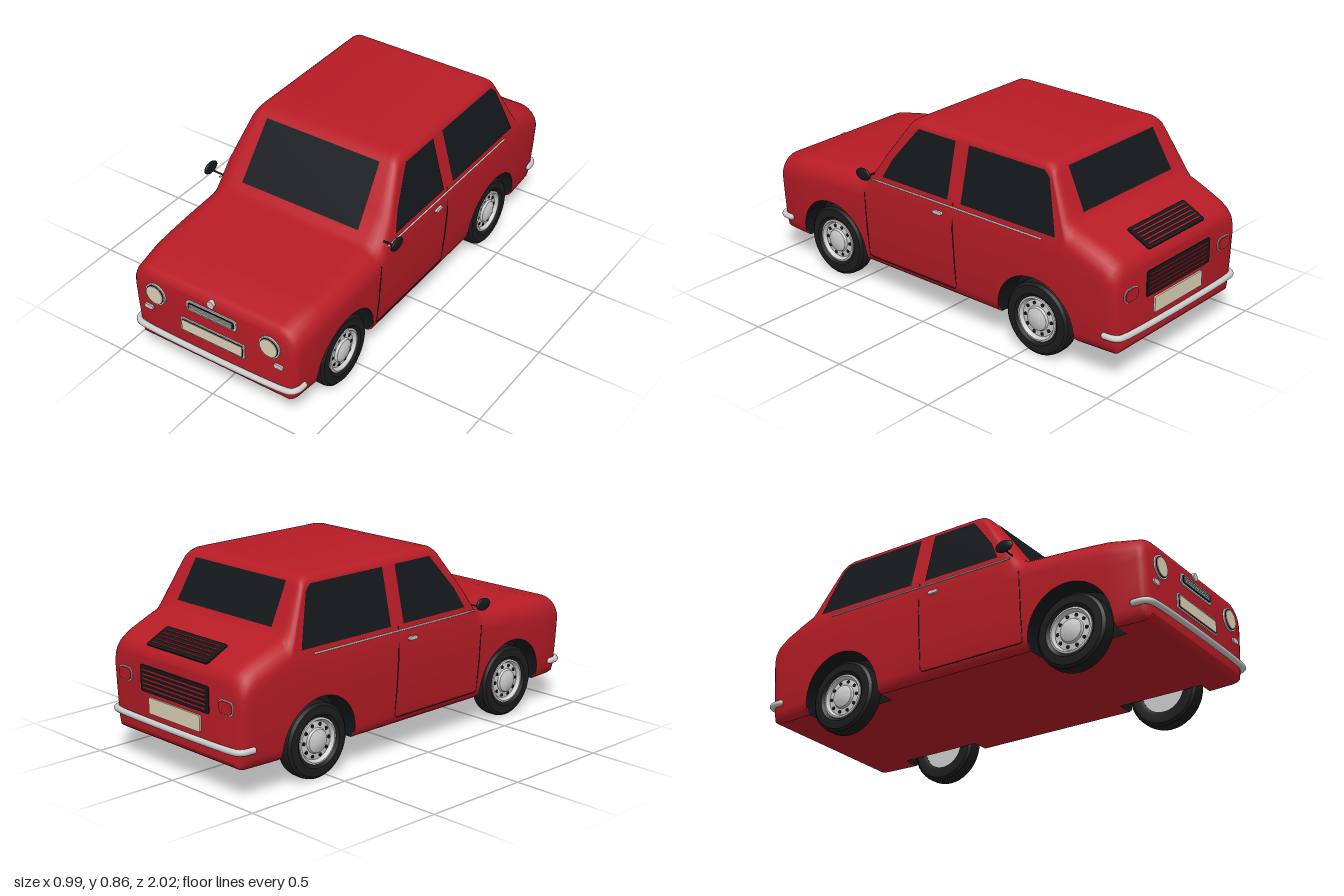
import * as THREE from 'three';
import { toCreasedNormals } from 'three/addons/utils/BufferGeometryUtils.js';

const RED = 0xb81c26, DARK = 0x14181b, CHROME = 0xcccccc, CREAM = 0xddd2b8;
const V = (x, y, z) => new THREE.Vector3(x, y, z);
const clamp = THREE.MathUtils.clamp;

// piecewise linear lookup
function lookup(table, t) {
  if (t <= table[0][0]) return table[0][1];
  for (let i = 1; i < table.length; i++) {
    const [a, va] = table[i - 1], [b, vb] = table[i];
    if (t <= b) return va + (vb - va) * (t - a) / (b - a);
  }
  return table[table.length - 1][1];
}

// body top height along z, and body half width by height
const TOP = [[-0.975, 0.515], [-0.94, 0.535], [-0.9, 0.56], [-0.8, 0.6], [-0.735, 0.622], [-0.715, 0.645], [-0.61, 0.838],
  [-0.595, 0.85], [-0.565, 0.86], [0.12, 0.862], [0.155, 0.857], [0.18, 0.84], [0.37, 0.58], [0.39, 0.562], [0.42, 0.552],
  [0.6, 0.54], [0.8, 0.525], [0.94, 0.5], [0.975, 0.493]];
const WIDTH = [[0.13, 0.39], [0.145, 0.41], [0.18, 0.419], [0.3, 0.43], [0.45, 0.44], [0.55, 0.44], [0.83, 0.37], [0.87, 0.36]];
const LEVELS = [0.13, 0.137, 0.145, 0.18, 0.3, 0.38, 0.45, 0.5, 0.55, 0.6, 0.7, 0.8, 0.83];
const top = z => lookup(TOP, z);
const width = y => lookup(WIDTH, y);
const FLOOR = 0.13, AXLE = 0.165, ARCH = 0.2, WELL = 0.31;
const WHEELS = [-0.56, 0.62];

function mesh(name, geo, color, side = THREE.FrontSide) {
  const m = new THREE.Mesh(geo, new THREE.MeshStandardMaterial({ color, side }));
  m.name = name;
  return m;
}

// skin between rows of points; rows run along +z, points from +x over the top to -x
function loft(rows, crease = 0.75) {
  const n = rows[0].length, idx = [];
  for (let i = 0; i < rows.length - 1; i++)
    for (let j = 0; j < n - 1; j++) {
      const a = i * n + j, c = a + n;
      idx.push(a, a + 1, c, a + 1, c + 1, c);
    }
  const g = new THREE.BufferGeometry().setFromPoints(rows.flat());
  g.setIndex(idx);
  return toCreasedNormals(g, crease);
}

const inset = z => lookup([[0.94, 0], [0.955, 0.004], [0.968, 0.014], [0.975, 0.03]], Math.abs(z));
const sideX = (y, z) => width(y) * (1 - 0.04 * Math.max(0, (Math.abs(z) - 0.65) / 0.325) ** 2) - inset(z);

// one body cross-section, lip to lip
function section({ z, lip }) {
  const t = top(z) - inset(z), r = clamp(0.09 - (t - 0.6) * 0.2, 0.05, 0.09);
  const half = LEVELS.map(l => {
    const y = clamp(l, lip, t - r);
    return V(sideX(y, z), y, z);
  });
  const x = sideX(t - r, z);
  for (let k = 0; k <= 6; k++) {
    const a = k / 6 * Math.PI / 2;
    half.push(V(x - r + r * Math.cos(a), t - r + r * Math.sin(a), z));
  }
  return [...half, ...half.map(p => V(-p.x, p.y, z)).reverse()];
}

// stations along z, with the lower lip lifted over each wheel
function stations() {
  const zs = [...TOP.map(p => p[0]), -0.968, -0.955, 0.955, 0.968, -0.2, 0, 0.3];
  for (const c of WHEELS) for (let k = 1; k < 20; k++) zs.push(c + ARCH * Math.cos(k / 20 * Math.PI));
  const out = zs.map(z => {
    const c = WHEELS.find(w => Math.abs(z - w) < ARCH);
    return { z, wheel: c, lip: c === undefined ? FLOOR + inset(z) : AXLE + Math.sqrt(ARCH ** 2 - (z - c) ** 2) };
  });
  for (const c of WHEELS) for (const s of [-1, 1]) {
    out.push({ z: c + s * ARCH, wheel: c, lip: AXLE, order: 0 }, { z: c + s * ARCH, lip: FLOOR, order: s });
  }
  return out.sort((a, b) => a.z - b.z || a.order - b.order);
}

function addBody(car) {
  const st = stations(), rows = st.map(section);
  const cap = row => row.map(p => V(0, p.y, p.z));
  car.add(mesh('bodyShell', loft([cap(rows[0]), ...rows, cap(rows[rows.length - 1])]), RED));
  car.add(mesh('floor', loft(st.map(s => {
    const y = FLOOR + inset(s.z), x = s.wheel === undefined ? sideX(y, s.z) : WELL;
    return [-x, -WELL, WELL, x].map(v => V(v, y, s.z));
  })), RED));
  for (const c of WHEELS) for (const s of [-1, 1]) {
    const arch = st.filter(q => q.wheel === c);
    const well = q => [V(s * WELL, FLOOR, q.z), V(s * WELL, q.lip, q.z), V(s * sideX(q.lip, q.z), q.lip, q.z)];
    const end = q => well({ z: q.z, lip: FLOOR });
    car.add(mesh('wheelWell', loft([end(arch[0]), ...arch.map(well), end(arch[arch.length - 1])]), DARK, THREE.DoubleSide));
  }
}

// rounded plate facing +z, back at z = 0
function plate(name, w, h, r, depth, color) {
  const s = new THREE.Shape(), x = w / 2, y = h / 2;
  s.absarc(x - r, y - r, r, 0, Math.PI / 2);
  s.absarc(r - x, y - r, r, Math.PI / 2, Math.PI);
  s.absarc(r - x, r - y, r, Math.PI, Math.PI * 1.5);
  s.absarc(x - r, r - y, r, Math.PI * 1.5, Math.PI * 2);
  return mesh(name, new THREE.ExtrudeGeometry(s, { depth, bevelEnabled: false, curveSegments: 10 }), color);
}

// dark panel with horizontal bars
function vent(name, w, h, bars, barColor) {
  const g = new THREE.Group();
  g.name = name;
  g.add(plate('ventPanel', w, h, 0.01, 0.006, DARK));
  for (let i = 1; i <= bars; i++) {
    const b = plate('ventBar', w * 0.92, 0.006, 0.002, 0.009, barColor);
    b.position.y = h * (i / (bars + 1) - 0.5);
    g.add(b);
  }
  return g;
}

function at(obj, x, y, z, ry = 0) {
  obj.position.set(x, y, z);
  obj.rotation.y = ry;
  return obj;
}

function tube(name, pts, r, color) {
  const path = new THREE.CurvePath();
  for (let i = 1; i < pts.length; i++) path.add(new THREE.LineCurve3(pts[i - 1], pts[i]));
  return mesh(name, new THREE.TubeGeometry(path, pts.length * 8, r, 8), color, THREE.DoubleSide);
}

function wheel() {
  const g = new THREE.Group();
  g.name = 'wheel';
  const lathe = (name, pts, color) => {
    const m = mesh(name, toCreasedNormals(new THREE.LatheGeometry(pts.map(p => new THREE.Vector2(...p)), 40), 0.6), color, THREE.DoubleSide);
    m.rotation.z = -Math.PI / 2;
    g.add(m);
  };
  lathe('tire', [[0.1, -0.036], [0.115, -0.042], [0.15, -0.04], [0.162, -0.03], [0.165, -0.015], [0.165, 0.015],
    [0.162, 0.03], [0.15, 0.04], [0.115, 0.042], [0.1, 0.03]], 0x1c1c1c);
  lathe('rim', [[0, -0.034], [0.1, -0.034], [0.1, 0.036], [0.092, 0.038], [0.082, 0.022], [0.055, 0.026], [0.05, 0.036], [0.03, 0.045], [0, 0.048]], CHROME);
  for (let i = 0; i < 10; i++) {
    const a = i / 10 * Math.PI * 2;
    const hole = mesh('rimHole', new THREE.CylinderGeometry(0.008, 0.008, 0.008, 10), DARK);
    hole.rotation.z = -Math.PI / 2;
    hole.position.set(0.023, 0.069 * Math.sin(a), 0.069 * Math.cos(a));
    g.add(hole);
  }
  return g;
}

function addSide(car, s) {
  const on = (z, y, o = 0.001) => V(s * (width(y) + o), y, z);
  // side glass lies on the leaning cabin wall
  const panes = { frontSideWindow: [[0.285, 0.58], [0.24, 0.67], [0.16, 0.775], [0.12, 0.825], [-0.09, 0.825], [-0.095, 0.58]],
    rearSideWindow: [[-0.17, 0.58], [-0.165, 0.825], [-0.57, 0.825], [-0.6, 0.8], [-0.645, 0.67], [-0.675, 0.58]] };
  for (const [name, pts] of Object.entries(panes)) {
    const geo = new THREE.ShapeGeometry(new THREE.Shape(pts.map(p => new THREE.Vector2(...p))));
    const pos = geo.attributes.position;
    for (let i = 0; i < pos.count; i++) pos.setXYZ(i, ...on(pos.getX(i), pos.getY(i), 0.004).toArray());
    geo.computeVertexNormals();
    car.add(mesh(name, geo, DARK, THREE.DoubleSide));
  }
  car.add(tube('beltTrim', [on(0.35, 0.555), on(-0.61, 0.555)], 0.004, CHROME));
  car.add(tube('doorSeam', [on(0.395, 0.48), on(0.395, 0.3), on(0.395, 0.165), on(-0.125, 0.165),
    on(-0.125, 0.3), on(-0.125, 0.45), on(-0.125, 0.575)], 0.002, DARK));
  car.add(at(plate('doorHandle', 0.05, 0.015, 0.007, 0.012, CHROME), s * 0.438, 0.51, -0.045, s * Math.PI / 2));
  // door mirror
  car.add(tube('mirrorStalk', [V(s * 0.42, 0.575, 0.35), V(s * 0.48, 0.577, 0.35)], 0.004, DARK));
  const mirror = mesh('mirror', new THREE.SphereGeometry(1, 20, 14), DARK);
  mirror.scale.set(0.012, 0.028, 0.043);
  car.add(at(mirror, s * 0.485, 0.59, 0.352));
  for (const z of WHEELS) car.add(at(wheel(), s * 0.37, AXLE, z, s > 0 ? 0 : Math.PI));
  // front lamps
  [['headlampRim', 0.052, CHROME, 0.01], ['headlampGap', 0.046, DARK, 0.012], ['headlampLens', 0.042, CREAM, 0.015]]
    .forEach(([n, r, c, d]) => car.add(at(plate(n, r * 2, r * 2, r * 0.999, d, c), s * 0.293, 0.388, 0.973)));
  car.add(at(plate('indicator', 0.045, 0.022, 0.01, 0.01, CHROME), s * 0.335, 0.305, 0.973));
  // rear lamps
  car.add(at(plate('tailLampRim', 0.09, 0.062, 0.025, 0.006, CHROME), s * 0.325, 0.385, -0.973, Math.PI));
  car.add(at(plate('tailLamp', 0.08, 0.052, 0.021, 0.01, RED), s * 0.325, 0.385, -0.973, Math.PI));
}

function addBumper(car, name, s, y) {
  const half = [V(0.413, y, s * 0.915), V(0.41, y, s * 0.955), V(0.395, y, s * 0.977), V(0.36, y, s * 0.986)];
  const pts = [...half, ...half.map(p => V(-p.x, p.y, p.z)).reverse()];
  const bar = new THREE.TubeGeometry(new THREE.CatmullRomCurve3(pts, false, 'centripetal'), 80, 0.014, 12);
  car.add(mesh(name, bar, CHROME));
  for (const i of [0, pts.length - 1]) {
    const tip = mesh(name + 'Tip', new THREE.SphereGeometry(0.014, 12, 8), CHROME);
    tip.position.copy(pts[i]);
    car.add(tip);
  }
}

export function createModel() {
  const car = new THREE.Group();
  car.name = 'car';
  addBody(car);
  for (const s of [-1, 1]) addSide(car, s);

  // windscreens
  const pane = (name, z0, x0, z1, x1) => car.add(mesh(name, loft([[z0, x0], [z1, x1]]
    .map(([z, x]) => [x, -x].map(v => V(v, top(z) + 0.006, z)))), DARK));
  pane('windshield', 0.19, 0.29, 0.366, 0.302);
  pane('rearWindow', -0.712, 0.3, -0.618, 0.285);

  // nose
  car.add(at(plate('grilleFrame', 0.256, 0.052, 0.015, 0.008, CHROME), 0, 0.412, 0.973));
  car.add(at(vent('grille', 0.236, 0.036, 3, CHROME), 0, 0.412, 0.978));
  car.add(at(plate('noseDisc', 0.036, 0.036, 0.0179, 0.02, CHROME), 0, 0.467, 0.962));
  car.add(at(plate('frontPlateFrame', 0.33, 0.07, 0.006, 0.008, CHROME), 0, 0.296, 0.973));
  car.add(at(plate('frontPlateGap', 0.316, 0.058, 0.003, 0.01, DARK), 0, 0.296, 0.973));
  car.add(at(plate('frontPlate', 0.308, 0.051, 0.003, 0.012, CREAM), 0, 0.296, 0.973));
  addBumper(car, 'frontBumper', 1, 0.2);

  // tail
  car.add(at(vent('rearVent', 0.44, 0.115, 5, RED), 0, 0.39, -0.973, Math.PI));
  const lid = at(vent('deckVent', 0.39, 0.125, 5, RED), 0, 0.557, -0.905);
  lid.rotation.x = -(Math.PI / 2 + 0.46);
  car.add(lid);
  car.add(at(plate('rearPlate', 0.33, 0.07, 0.005, 0.01, CREAM), 0, 0.28, -0.973, Math.PI));
  addBumper(car, 'rearBumper', -1, 0.215);
  return car;
}
